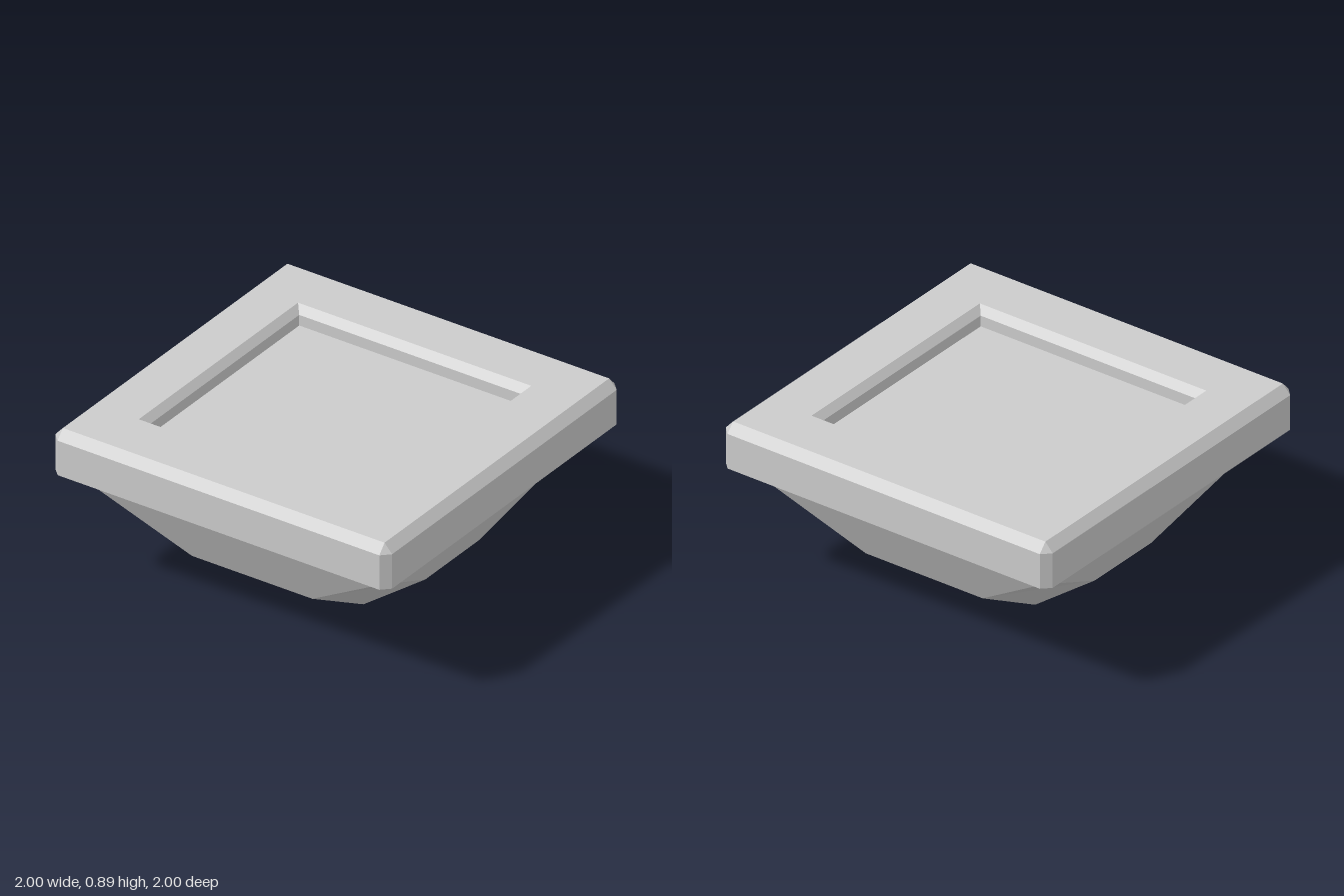
import * as THREE from 'three';

const material = new THREE.MeshStandardMaterial({ color: 0xcccccc, flatShading: true });

// Eight-point ring: outer limits [min, max] in x and z, and where the corner cuts begin.
// Without cuts the corner points coincide and the ring is a plain rectangle.
function ring(y, [x0, x1], [z0, z1], [cx0, cx1] = [x0, x1], [cz0, cz1] = [z0, z1]) {
  return [
    [x1, cz0], [x1, cz1], [cx1, z1], [cx0, z1],
    [x0, cz1], [x0, cz0], [cx0, z0], [cx1, z0],
  ].map(([x, z]) => new THREE.Vector3(x, y, z));
}

// Joins successive rings with flat faces, with optional caps on the first and last ring.
function loft(name, rings, { capBottom = false, capFloor = false } = {}) {
  const points = [];
  const tri = (a, b, c) => {
    if (new THREE.Triangle(a, b, c).getArea() > 1e-7) points.push(a, b, c);
  };
  for (let r = 0; r < rings.length - 1; r++) {
    const low = rings[r], high = rings[r + 1];
    for (let i = 0; i < 8; i++) {
      const j = (i + 1) % 8;
      tri(low[i], high[i], high[j]);
      tri(low[i], high[j], low[j]);
    }
  }
  const first = rings[0], last = rings[rings.length - 1];
  for (let i = 1; i < 7; i++) {
    if (capBottom) tri(first[0], first[i], first[i + 1]);
    if (capFloor) tri(last[0], last[i + 1], last[i]);
  }
  const geometry = new THREE.BufferGeometry().setFromPoints(points);
  geometry.computeVertexNormals();
  const mesh = new THREE.Mesh(geometry, material);
  mesh.name = name;
  return mesh;
}

export function createModel() {
  const group = new THREE.Group();
  group.name = 'facetedPlatform';

  const neck = ring(0.585, [-0.875, 0.865], [-0.87, 0.875]);
  const rim = ring(0.895, [-0.955, 0.955], [-0.955, 0.955]);
  const slab = (y) => ring(y, [-1, 1], [-1, 1], [-0.955, 0.955], [-0.955, 0.955]);
  const opening = ring(0.895, [-0.7, 0.685], [-0.68, 0.675]);

  // Faceted underside: rectangular foot, octagonal waist, square neck
  group.add(loft('facetedUnderside', [
    ring(0, [-0.36, 0.345], [-0.255, 0.26]),
    ring(0.243, [-0.7, 0.69], [-0.69, 0.695], [-0.37, 0.345], [-0.225, 0.23]),
    neck,
  ], { capBottom: true }));

  // Slab with chamfered edges and a flat frame on top
  group.add(loft('chamferedSlab', [neck, slab(0.65), slab(0.845), rim, opening]));

  // Sunken panel with a bevelled lip
  const inner = (y) => ring(y, [-0.665, 0.65], [-0.64, 0.635]);
  group.add(loft('sunkenPanel', [opening, inner(0.857), inner(0.797)], { capFloor: true }));

  return group;
}
